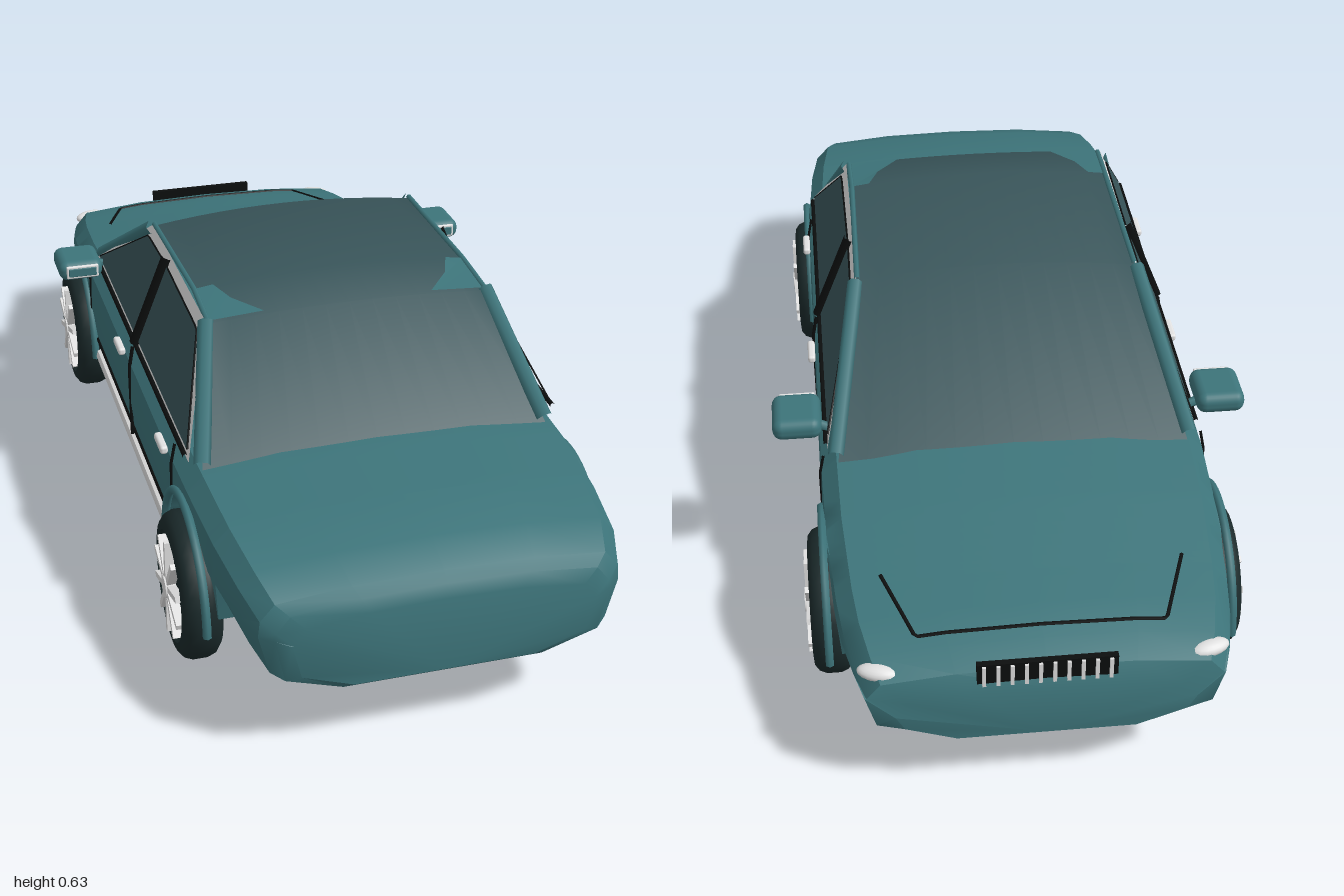
import * as THREE from 'three';
import { toCreasedNormals } from 'three/addons/utils/BufferGeometryUtils.js';
import { RoundedBoxGeometry } from 'three/addons/geometries/RoundedBoxGeometry.js';

const mat = (name, color) => {
  const m = new THREE.MeshStandardMaterial({ color });
  m.name = name;
  return m;
};
const paint = mat('teal paint', 0x3d747a);
const glass = mat('tinted glass', 0x39555a);
const rubber = mat('dark rubber', 0x1b2a2b);
rubber.side = THREE.DoubleSide;
const black = mat('black trim', 0x0c0e0e);
const silver = mat('silver trim', 0xe2e2e2);
const under = mat('pale underbody', 0xd2d2d2);

// Piecewise linear lookup in rows [z, a, b, ...] sorted by z
function lookup(rows, z) {
  let i = 0;
  while (i < rows.length - 2 && z > rows[i + 1][0]) i++;
  const [p, q] = [rows[i], rows[i + 1]];
  const t = THREE.MathUtils.clamp((z - p[0]) / (q[0] - p[0]), 0, 1);
  return p.map((v, k) => v + (q[k] - v) * t);
}

// Skin over equally long rows of points; skip(i, j) leaves a quad open
function loft(rows, closed, crease, skip = () => false) {
  const n = rows[0].length, idx = [];
  for (let i = 0; i < rows.length - 1; i++) {
    for (let j = 0; j < (closed ? n : n - 1); j++) {
      if (skip(i, j)) continue;
      const k = (j + 1) % n, a = i * n + j, b = i * n + k;
      idx.push(a, b, a + n, b, b + n, a + n);
    }
  }
  if (closed) {
    const last = (rows.length - 1) * n;
    for (let j = 1; j < n - 1; j++) idx.push(0, j + 1, j, last, last + j, last + j + 1);
  }
  const g = new THREE.BufferGeometry();
  g.setAttribute('position', new THREE.Float32BufferAttribute(rows.flat(2), 3));
  g.setIndex(idx);
  return toCreasedNormals(g, crease);
}

// Hull: z, half width, top height, bottom height
const hullRows = [
  [-1, 0.28, 0.27, 0.155], [-0.98, 0.335, 0.305, 0.15], [-0.93, 0.352, 0.328, 0.165],
  [-0.85, 0.37, 0.342, 0.172], [-0.77, 0.38, 0.355, 0.178], [-0.6, 0.392, 0.385, 0.19],
  [-0.44, 0.395, 0.408, 0.197], [0.45, 0.395, 0.41, 0.197], [0.6, 0.392, 0.408, 0.192],
  [0.77, 0.382, 0.396, 0.187], [0.9, 0.366, 0.38, 0.175], [0.97, 0.345, 0.352, 0.155],
  [0.99, 0.32, 0.335, 0.146], [1, 0.29, 0.31, 0.155],
];
const axles = [-0.592, 0.597], archR = 0.183, axleY = 0.15;

function hullRing(z) {
  const [, w, top, low] = lookup(hullRows, z);
  let bot = low;
  for (const a of axles) {
    const d = Math.abs(z - a);
    if (d < archR) bot = Math.max(bot, axleY + Math.sqrt(archR * archR - d * d));
  }
  const end = Math.abs(z) > 0.785;
  const half = [
    [w * 0.6, bot], [w * (end ? 0.94 : 0.98), bot + (end ? 0.035 : 0)], [w, Math.min(0.27, top - 0.05)],
    [w * 0.99, top - 0.05], [w * 0.91, top - 0.018], [w * 0.5, top - 0.004],
  ].map(([x, y]) => [x, Math.max(y, bot)]);
  const left = half.map(([x, y]) => [x, y, z]);
  const right = half.map(([x, y]) => [-x, y, z]).reverse();
  return [[0, bot, z], ...left, [0, top, z], ...right];
}

// Point on top of the hull
function hullTop(x, z) {
  const [, w, top] = lookup(hullRows, z);
  const drop = lookup([[0, 0], [0.5, 0.004], [0.91, 0.018]], Math.abs(x) / w)[1];
  return [x, top - drop, z];
}

// Canopy: z, centre height, edge height, half width
const canopyRows = [
  [-0.455, 0.402, 0.39, 0.356], [-0.12, 0.626, 0.604, 0.295], [0.25, 0.634, 0.613, 0.29],
  [0.38, 0.612, 0.6, 0.292], [0.585, 0.4, 0.386, 0.354],
];
const canopyPoint = (t, z, lift = 0) => {
  const [, c, e, w] = lookup(canopyRows, z);
  return [t * w, c + (e - c) * t * t + lift, z];
};

export function createModel() {
  const car = new THREE.Group();
  car.name = 'car';
  const add = (name, geo, material, parent = car) => {
    const m = new THREE.Mesh(geo, material);
    m.name = name;
    parent.add(m);
    return m;
  };
  const rod = (name, pts, r, material) => {
    const path = new THREE.CurvePath();
    const v = pts.map((p) => new THREE.Vector3(...p));
    for (let i = 1; i < v.length; i++) path.add(new THREE.LineCurve3(v[i - 1], v[i]));
    return add(name, new THREE.TubeGeometry(path, 12 * (v.length - 1), r, 6), material);
  };
  const box = (name, size, at, material) => {
    const m = add(name, new THREE.BoxGeometry(...size), material);
    m.position.set(...at);
    return m;
  };
  const rounded = (name, size, r, at, material) => {
    const m = add(name, new RoundedBoxGeometry(...size, 3, r), material);
    m.position.set(...at);
    return m;
  };
  // Flat outline on side s, facing outwards
  const plate = (name, outline, material, s) => {
    const pts = s > 0 ? [...outline].reverse() : outline;
    const g = new THREE.BufferGeometry();
    g.setAttribute('position', new THREE.Float32BufferAttribute(pts.flat(), 3));
    g.setIndex(pts.slice(2).flatMap((_, i) => [0, i + 1, i + 2]));
    g.computeVertexNormals();
    return add(name, g, material);
  };

  // Hull with wheel arches running through it, open below the cabin
  const stations = hullRows.map((r) => r[0]).concat([-0.79, -0.78, 0.782, 0.79]);
  for (const a of axles) {
    for (let i = 0; i <= 16; i++) stations.push(a - archR * 0.98 * Math.cos((i * Math.PI) / 16));
  }
  stations.sort((a, b) => a - b);
  const openBelow = (i, j) => {
    const z = (stations[i] + stations[i + 1]) / 2;
    return z > -0.412 && z < 0.417 && (j < 2 || j > 11);
  };
  add('hull', loft(stations.map(hullRing), true, 0.6, openBelow), paint);
  const floor = add('floor', new THREE.PlaneGeometry(0.66, 0.828), under);
  floor.rotation.x = Math.PI / 2;
  floor.position.set(0, 0.16, 0.002);

  // Windscreen, roof and rear window
  const ts = Array.from({ length: 13 }, (_, i) => 1 - i / 6);
  add('canopy', loft(canopyRows.map((r) => ts.map((t) => canopyPoint(t, r[0]))), false, 1.2), glass);

  // Grille
  box('grillePlate', [0.26, 0.052, 0.012], [0, 0.302, -0.985], black);
  for (let i = 0; i < 10; i++) {
    box('grilleBar', [0.007, 0.046, 0.006], [-0.117 + i * 0.026, 0.302, -0.993], silver);
  }

  // Bonnet seam
  const seam = [[-0.29, -0.75], [-0.235, -0.9], [-0.178, -0.9], [0, -0.9], [0.178, -0.9], [0.235, -0.9], [0.29, -0.75]];
  rod('bonnetSeam', seam.map(([x, z]) => hullTop(x, z)), 0.004, black);

  // Wheel shape, spun about its axle
  const tyre = new THREE.LatheGeometry([[0.001, -0.036], [0.11, -0.04], [0.13, -0.038], [0.142, -0.029], [0.148, -0.014],
    [0.148, 0.014], [0.142, 0.029], [0.13, 0.038], [0.112, 0.04], [0.106, 0.03], [0.001, 0.03]]
    .map(([x, y]) => new THREE.Vector2(x, y)), 32);
  const tyreGeo = toCreasedNormals(tyre, 0.7);

  for (const s of [1, -1]) {
    // Pillars and roof rails
    rod('frontPillar', [[s * 0.36, 0.405, -0.45], [s * 0.298, 0.602, -0.12]], 0.016, paint);
    rod('rearPillar', [[s * 0.352, 0.4, 0.575], [s * 0.292, 0.602, 0.37]], 0.017, paint);
    rod('roofRail', [[s * 0.294, 0.608, -0.12], [s * 0.288, 0.616, 0.25], [s * 0.29, 0.604, 0.375]], 0.006, paint);
    plate('roofCorner', [[1, 0.375], [0.6, 0.375], [0.78, 0.31], [0.86, 0.25], [1, 0.25]]
      .map(([t, z]) => canopyPoint(s * t, z, 0.004)), paint, s);

    // Side windows on a silver surround
    const side = (pts, out) => pts.map(([z, y]) => [s * (0.375 - (y - 0.41) * 0.4 + out), y, z]);
    plate('windowSurround', side([[0.57, 0.405], [0.37, 0.608], [-0.12, 0.608], [-0.43, 0.405]], 0), silver, s);
    plate('rearSideWindow', side([[0.545, 0.42], [0.36, 0.582], [0.065, 0.587], [0.065, 0.42]], 0.004), glass, s);
    plate('frontSideWindow', side([[0.04, 0.42], [0.04, 0.587], [-0.12, 0.582], [-0.4, 0.42]], 0.004), glass, s);
    rod('beltTrim', side([[0.55, 0.409], [-0.42, 0.409]], 0.004), 0.005, black);
    rod('rearWindowTrim', side([[0.545, 0.42], [0.36, 0.583], [0.065, 0.588]], 0.003), 0.002, black);
    rod('frontWindowTrim', side([[0.04, 0.588], [-0.12, 0.583], [-0.4, 0.42]], 0.003), 0.002, black);
    rod('middlePillar', side([[0.053, 0.41], [0.053, 0.603]], 0.004), 0.014, black);

    // Door seams and handles
    const seamX = s * 0.394;
    rod('middleDoorSeam', [[s * 0.385, 0.405, 0.053], [seamX, 0.355, 0.053], [seamX, 0.19, 0.053]], 0.004, black);
    rod('rearDoorSeam', [[s * 0.385, 0.4, 0.48], [seamX, 0.355, 0.48], [seamX, 0.29, 0.48]], 0.003, black);
    rod('frontDoorSeam', [[s * 0.385, 0.4, -0.44], [seamX, 0.355, -0.44], [seamX, 0.25, -0.44]], 0.003, black);
    rod('doorBaseSeam', [[s * 0.388, 0.203, 0.41], [s * 0.388, 0.203, -0.4]], 0.005, black);
    for (const z of [0.415, -0.03]) {
      rounded('doorHandle', [0.016, 0.017, 0.068], 0.006, [s * 0.4, 0.367, z], silver);
    }

    // Rounded sill, with a gap under the doors
    const section = [[0.37, 0.181], [0.392, 0.172], [0.396, 0.158], [0.388, 0.14], [0.362, 0.134], [0.33, 0.155], [0.28, 0.155]];
    if (s > 0) section.reverse();
    add('sill', loft([-0.4, 0.41].map((z) => section.map(([x, y]) => [s * x, y, z])), false, 0.9), silver);

    // Door mirror with a silver-rimmed face
    rounded('doorMirror', [0.1, 0.046, 0.115], 0.02, [s * 0.435, 0.433, -0.35], paint);
    rounded('mirrorRim', [0.074, 0.03, 0.008], 0.003, [s * 0.433, 0.434, -0.294], silver);
    rounded('mirrorFace', [0.064, 0.02, 0.006], 0.002, [s * 0.433, 0.434, -0.291], paint);
    rod('mirrorArm', [[s * 0.37, 0.415, -0.37], [s * 0.41, 0.428, -0.36]], 0.01, paint);

    // Headlight
    const lamp = add('headlight', new THREE.SphereGeometry(1, 16, 10), silver);
    lamp.scale.set(0.04, 0.015, 0.02);
    lamp.position.set(s * 0.308, 0.291, -0.95);
    lamp.rotation.y = -s * 0.3;

    for (const z of axles) {
      // Wheel arch flare
      const flare = add('archFlare', new THREE.TorusGeometry(0.186, 0.009, 6, 28, Math.PI), paint);
      flare.rotation.y = Math.PI / 2;
      flare.position.set(s * 0.396, axleY, z);

      // Wheel with ten spokes
      const wheel = new THREE.Group();
      wheel.name = 'wheel';
      wheel.position.set(s * 0.389, 0.15, z);
      wheel.rotation.z = -s * Math.PI / 2;
      car.add(wheel);
      add('tyre', tyreGeo, rubber, wheel);
      const hub = add('hub', new THREE.CylinderGeometry(0.022, 0.026, 0.024, 16), silver, wheel);
      hub.position.y = 0.039;
      for (let i = 0; i < 10; i++) {
        const a = (i * Math.PI) / 5;
        const spoke = add('spoke', new THREE.BoxGeometry(0.085, 0.018, 0.012), silver, wheel);
        spoke.position.set(Math.cos(a) * 0.06, 0.039, -Math.sin(a) * 0.06);
        spoke.rotation.y = a;
      }
    }
  }
  return car;
}
